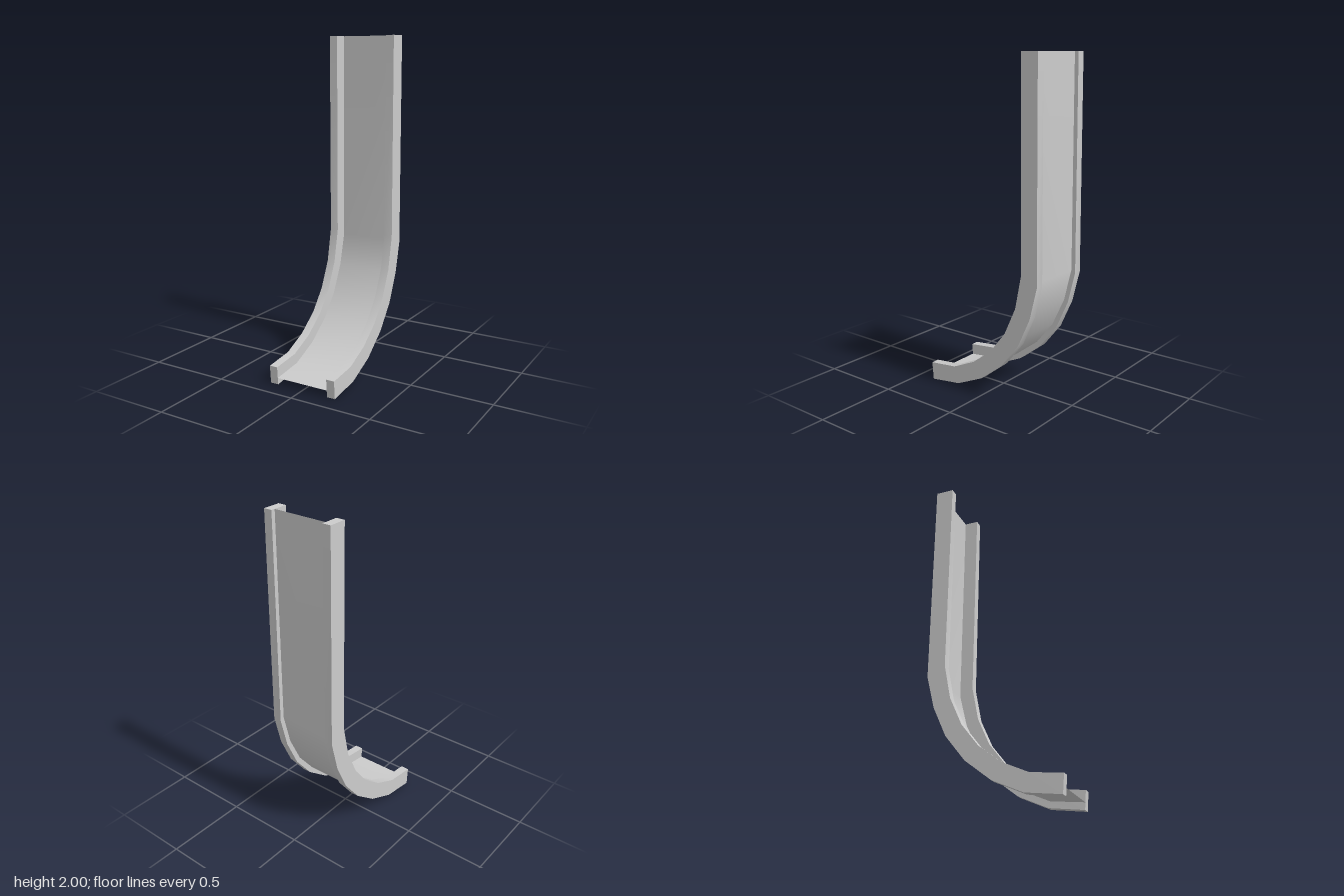
import * as THREE from 'three';
import { toCreasedNormals } from 'three/addons/utils/BufferGeometryUtils.js';

// Side profile as [z, y], from the top down to the front end
const BACK = [[-0.388, 2], [-0.396, 0.74], [-0.349, 0.55], [-0.27, 0.376],
  [-0.153, 0.228], [0, 0.108], [0.18, 0.027], [0.387, 0]];
const FRONT = [[-0.28, 2], [-0.289, 0.794], [-0.249, 0.593], [-0.175, 0.43],
  [-0.074, 0.3], [0.058, 0.198], [0.212, 0.128], [0.396, 0.108]];
const INNER_X = 0.167, OUTER_X = 0.218;

// Side rail: the profile extruded across x
function railGeometry() {
  const outline = [...BACK, ...FRONT.slice().reverse()];
  const shape = new THREE.Shape(outline.map(([z, y]) => new THREE.Vector2(-z, y)));
  const geo = new THREE.ExtrudeGeometry(shape, { depth: OUTER_X - INNER_X, bevelEnabled: false });
  geo.rotateY(Math.PI / 2);
  return toCreasedNormals(geo, Math.PI / 6);
}

// Thin chute bed set between the rails, close to their back edge
function bedGeometry() {
  const pos = [], index = [];
  BACK.forEach(([z, y], i) => {
    const t = 0.22 + 0.16 * i / (BACK.length - 1);
    const pz = THREE.MathUtils.lerp(z, FRONT[i][0], t);
    const py = THREE.MathUtils.lerp(y, FRONT[i][1], t);
    pos.push(-INNER_X, py, pz, INNER_X, py, pz);
    if (i > 0) {
      const a = 2 * (i - 1);
      index.push(a, a + 2, a + 1, a + 1, a + 2, a + 3);
    }
  });
  const geo = new THREE.BufferGeometry();
  geo.setAttribute('position', new THREE.Float32BufferAttribute(pos, 3));
  geo.setIndex(index);
  geo.computeVertexNormals();
  return geo;
}

export function createModel() {
  const group = new THREE.Group();
  group.name = 'slide';
  const grey = new THREE.MeshStandardMaterial({ color: 0xcccccc });
  const thin = new THREE.MeshStandardMaterial({ color: 0xcccccc, side: THREE.DoubleSide });

  const rail = railGeometry();
  for (const [name, x] of [['leftRail', INNER_X], ['rightRail', -OUTER_X]]) {
    const mesh = new THREE.Mesh(rail, grey);
    mesh.name = name;
    mesh.position.x = x;
    group.add(mesh);
  }

  const bed = new THREE.Mesh(bedGeometry(), thin);
  bed.name = 'slideBed';
  group.add(bed);
  return group;
}
